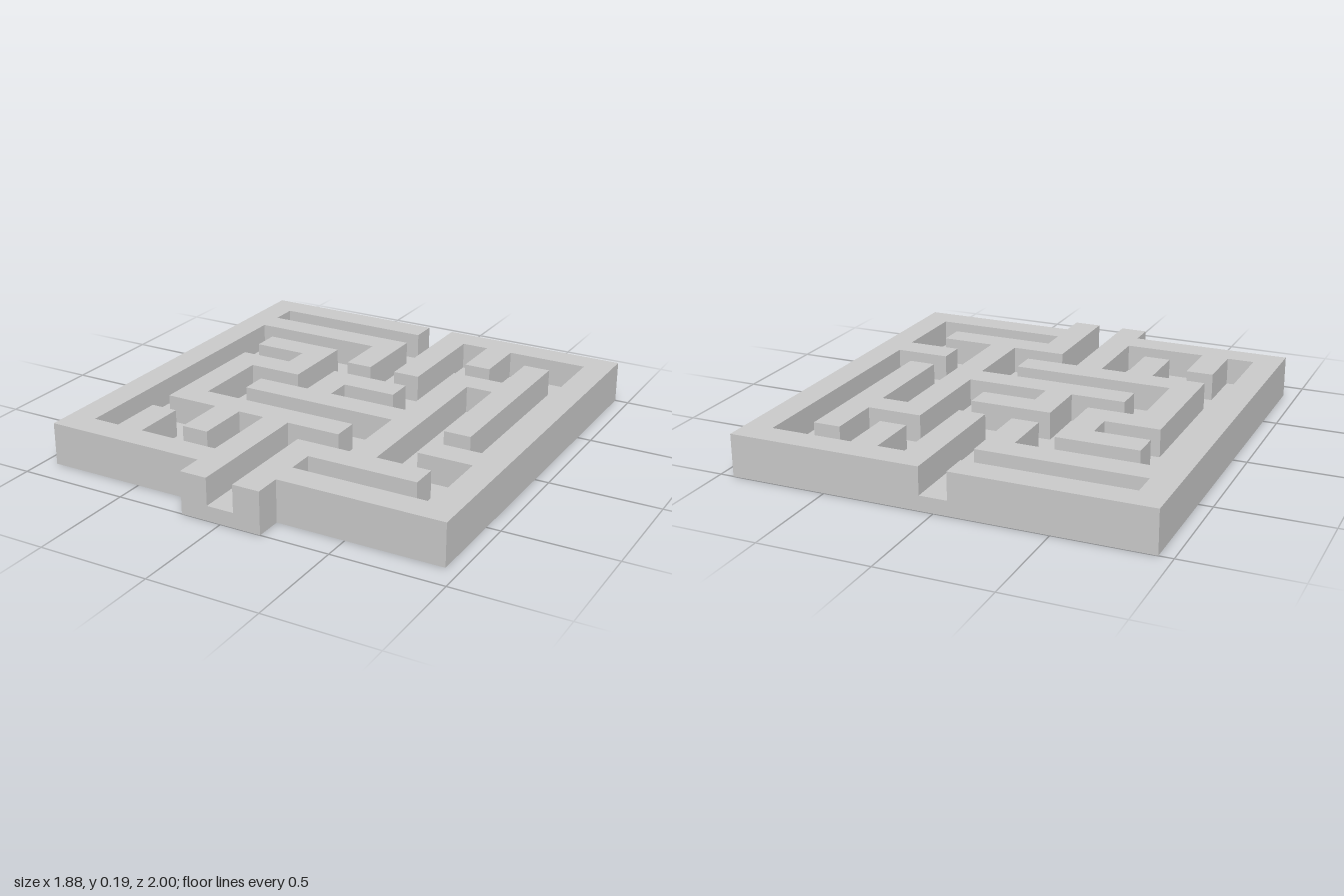
import * as THREE from 'three';

const CELL = 0.125;    // corridor and wall width
const FLOOR = 0.0675;  // base plate thickness
const WALL = 0.125;    // wall height above the floor

// Right-angled outline on the cell grid: from (col, row), the turns alternate
// between a new row and a new column.
function outline(col, row, turns) {
  const point = () => new THREE.Vector2((col - 7.5) * CELL, (8 - row) * CELL);
  const points = [point()];
  turns.forEach((value, i) => {
    if (i % 2 === 0) row = value;
    else col = value;
    points.push(point());
  });
  return new THREE.Shape(points);
}

// Extrude a plan outline upwards from height y
function slab(name, shape, y, height, material) {
  const geometry = new THREE.ExtrudeGeometry(shape, { depth: height, bevelEnabled: false });
  geometry.rotateX(-Math.PI / 2);
  geometry.translate(0, y, 0);
  const mesh = new THREE.Mesh(geometry, material);
  mesh.name = name;
  return mesh;
}

export function createModel() {
  const material = new THREE.MeshStandardMaterial({ color: 0xcccccc, flatShading: true });
  const maze = new THREE.Group();
  maze.name = 'maze';

  // Base plate with the entrance tab at the front
  const base = outline(0, 0, [15, 6, 16, 9, 15, 15, 0]);

  // Walls on either side of the single corridor running from back to front;
  // the last turns follow the outer edge of the plate.
  const rightWalls = outline(7, 0, [
    1, 1, 2, 7, 5, 6, 3, 1, 14, 2, 12, 3, 14, 6, 11, 5, 13, 4, 11, 2,
    6, 4, 5, 2, 4, 5, 7, 3, 10, 9, 11, 7, 16,
    6, 15, 0, 0,
  ]);
  const leftWalls = outline(8, 0, [
    5, 9, 1, 10, 3, 11, 1, 14, 10, 12, 11, 14, 14, 9, 13, 13, 12, 11,
    5, 12, 9, 13, 2, 12, 4, 10, 8, 7, 7, 9, 6, 6, 8, 4, 9, 10, 12, 8, 16,
    9, 15, 15, 0,
  ]);

  maze.add(
    slab('basePlate', base, 0, FLOOR, material),
    slab('rightWalls', rightWalls, FLOOR, WALL, material),
    slab('leftWalls', leftWalls, FLOOR, WALL, material),
  );
  return maze;
}
